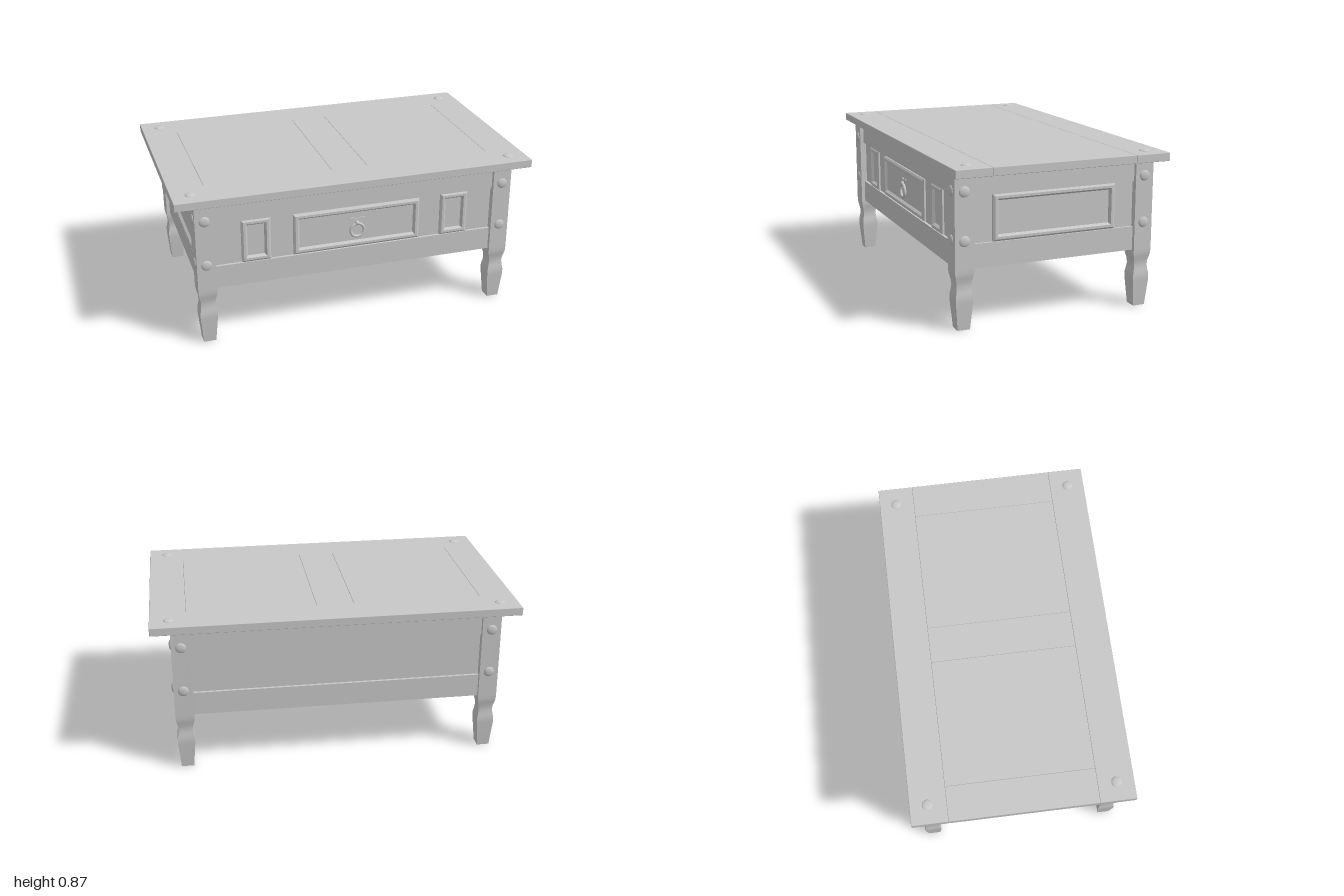
import * as THREE from 'three';
import { RoundedBoxGeometry } from 'three/addons/geometries/RoundedBoxGeometry.js';

const wood = new THREE.MeshStandardMaterial({ color: 0xc8c8c8 });
wood.name = 'grey';

function add(parent, name, geometry, x = 0, y = 0, z = 0) {
  const mesh = new THREE.Mesh(geometry, wood);
  mesh.name = name;
  mesh.position.set(x, y, z);
  parent.add(mesh);
  return mesh;
}

// Box given by its min and max corners
function span(parent, name, [x0, y0, z0], [x1, y1, z1]) {
  return add(parent, name, new THREE.BoxGeometry(x1 - x0, y1 - y0, z1 - z0),
    (x0 + x1) / 2, (y0 + y1) / 2, (z0 + z1) / 2);
}

// Moulded panel facing +z: nested rectangles [inset, depth] joined by flat bands
function panelGeometry(w, h) {
  const steps = [[0, 0], [0, 0.01], [0.01, 0.018], [0.023, 0.018], [0.034, 0.004]];
  const rings = steps.map(([i, d]) => {
    const a = w / 2 - i, b = h / 2 - i;
    return [[-a, -b, d], [a, -b, d], [a, b, d], [-a, b, d]];
  });
  const pos = [];
  const quad = (a, b, c, d) => pos.push(...a, ...b, ...c, ...a, ...c, ...d);
  for (let r = 0; r < rings.length - 1; r++) {
    for (let k = 0; k < 4; k++) {
      const n = (k + 1) % 4;
      quad(rings[r][k], rings[r][n], rings[r + 1][n], rings[r + 1][k]);
    }
  }
  quad(...rings[rings.length - 1]);
  const g = new THREE.BufferGeometry();
  g.setAttribute('position', new THREE.Float32BufferAttribute(pos, 3));
  g.computeVertexNormals();
  return g;
}

// Square leg whose width follows [height, half width] rows
function legGeometry() {
  const rows = [[0, 0.034], [0.148, 0.047], [0.18, 0.047], [0.205, 0.042], [0.23, 0.039],
    [0.255, 0.041], [0.28, 0.047], [0.3, 0.051], [0.33, 0.052], [0.82, 0.052]];
  const n = rows.length - 1;
  const g = new THREE.BoxGeometry(2, 1, 2, 1, n, 1);
  const p = g.attributes.position;
  for (let i = 0; i < p.count; i++) {
    const [y, r] = rows[Math.round((p.getY(i) + 0.5) * n)];
    p.setXYZ(i, p.getX(i) * r, y, p.getZ(i) * r);
  }
  g.computeVertexNormals();
  return g;
}

export function createModel() {
  const table = new THREE.Group();
  table.name = 'coffeeTable';

  // Table top: two long rails and five boards between them
  const top = new THREE.Group();
  top.name = 'tableTop';
  table.add(top);
  const board = (name, x0, x1, z0, z1) => add(top, name,
    new RoundedBoxGeometry(x1 - x0, 0.045, z1 - z0, 1, 0.003), (x0 + x1) / 2, 0.8425, (z0 + z1) / 2);
  board('frontTopRail', -1, 1, 0.403, 0.6);
  board('backTopRail', -1, 1, -0.6, -0.403);
  const cuts = [-1, -0.81, -0.105, 0.1, 0.805, 1];
  for (let i = 0; i < 5; i++) board('topBoard', cuts[i], cuts[i + 1], -0.403, 0.403);

  // Domed studs: dome points along +y before turning
  const dome = new THREE.SphereGeometry(1, 20, 6, 0, Math.PI * 2, 0, Math.PI / 2);
  dome.scale(0.029, 0.01, 0.029);
  const sideDome = dome.clone().rotateZ(-Math.PI / 2);
  const frontDome = dome.clone().rotateX(Math.PI / 2);

  // Legs with studs on both outer faces and on the top above
  const legGeo = legGeometry();
  for (const sx of [-1, 1]) {
    for (const sz of [-1, 1]) {
      const x = sx * 0.843, z = sz * 0.514;
      add(table, 'leg', legGeo, x, 0, z);
      add(top, 'topStud', dome, sx * 0.897, 0.864, sz * 0.505);
      for (const y of [0.73, 0.475]) {
        const side = add(table, 'sideStud', sideDome, sx * 0.895, y, z);
        const face = add(table, 'faceStud', frontDome, x, y, sz * 0.566);
        if (sx < 0) side.rotation.y = Math.PI;
        if (sz < 0) face.rotation.y = Math.PI;
      }
    }
  }

  // Closed body with rails standing proud above and below the middle band
  span(table, 'body', [-0.86, 0.32, -0.53], [0.86, 0.82, 0.53]);
  for (const [y0, y1, name] of [[0.32, 0.45, 'lowerRail'], [0.698, 0.82, 'upperRail']]) {
    for (const s of [-1, 1]) {
      span(table, name, [-0.8, y0, s * 0.535 - 0.01], [0.8, y1, s * 0.535 + 0.01]);
      span(table, name, [s * 0.865 - 0.01, y0, -0.47], [s * 0.865 + 0.01, y1, 0.47]);
    }
  }

  // Side panels
  const sidePanel = panelGeometry(0.7, 0.246);
  for (const s of [-1, 1]) {
    add(table, 'sidePanel', sidePanel, s * 0.86, 0.574, 0).rotation.y = s * Math.PI / 2;
  }

  // Front panels and drawer
  const smallPanel = panelGeometry(0.16, 0.246);
  for (const s of [-1, 1]) add(table, 'frontPanel', smallPanel, s * 0.566, 0.574, 0.53);
  const drawer = new THREE.Group();
  drawer.name = 'drawer';
  drawer.position.set(0, 0.572, 0.53);
  table.add(drawer);
  add(drawer, 'drawerFront', panelGeometry(0.72, 0.236));

  // Ring pull hanging from a horned backplate
  const plate = new THREE.Shape();
  plate.moveTo(0, -0.01);
  plate.quadraticCurveTo(0.018, 0.01, 0.016, 0.025);
  plate.quadraticCurveTo(0.036, 0.028, 0.042, 0.05);
  plate.quadraticCurveTo(0.02, 0.058, 0, 0.042);
  plate.quadraticCurveTo(-0.02, 0.058, -0.042, 0.05);
  plate.quadraticCurveTo(-0.036, 0.028, -0.016, 0.025);
  plate.quadraticCurveTo(-0.018, 0.01, 0, -0.01);
  add(drawer, 'pullPlate',
    new THREE.ExtrudeGeometry(plate, { depth: 0.006, bevelEnabled: false, curveSegments: 6 }), 0, 0, 0.004);
  add(drawer, 'pullKnob', new THREE.SphereGeometry(0.013, 16, 10), 0, 0.022, 0.014);
  add(drawer, 'pullRing', new THREE.TorusGeometry(0.038, 0.008, 10, 28), 0, -0.02, 0.014);

  return table;
}
